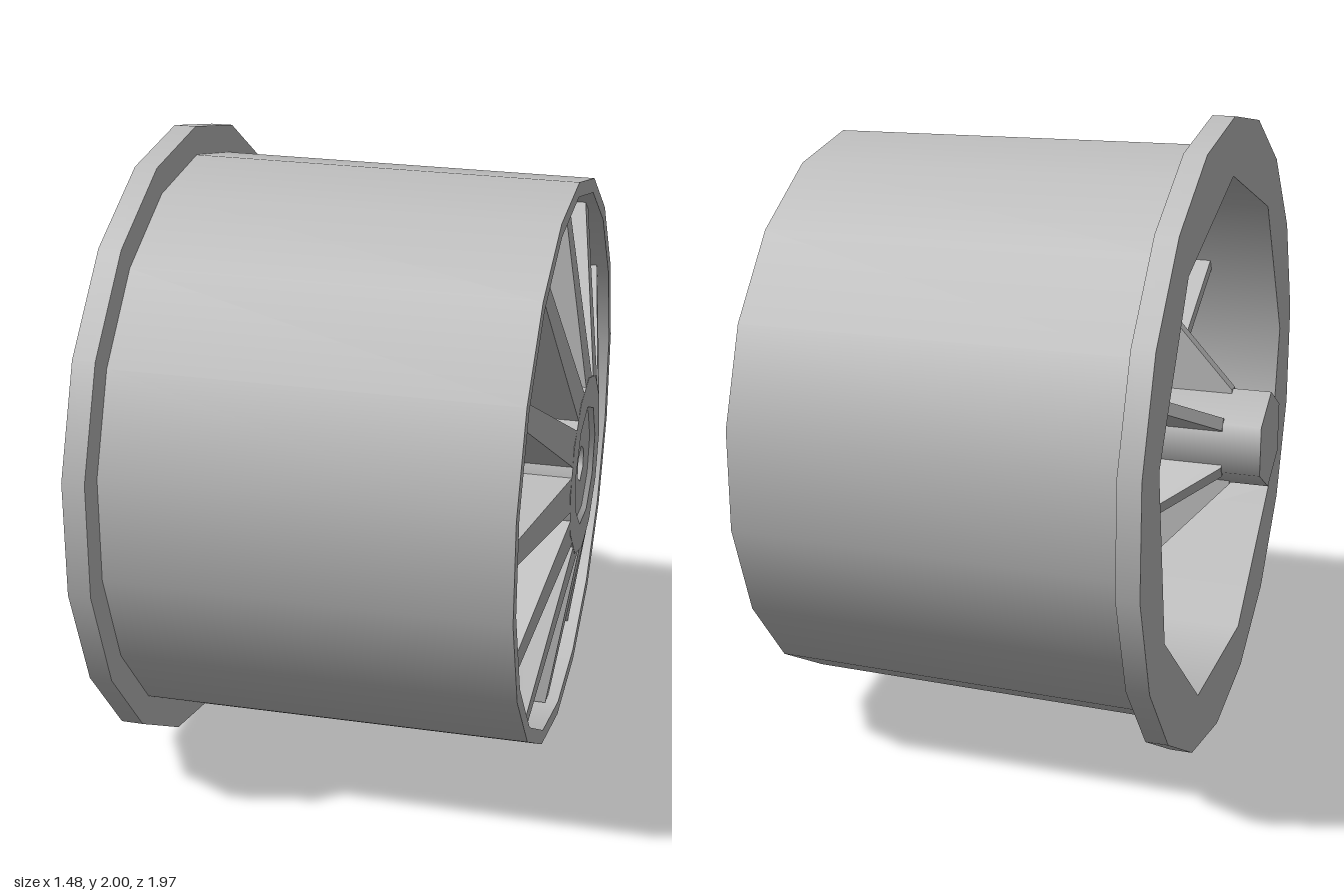
import * as THREE from 'three';

export function createModel() {
  const grey = new THREE.MeshStandardMaterial({ color: 0xc0c0c0, side: THREE.DoubleSide });
  grey.name = 'wheel grey';

  const model = new THREE.Group();
  model.name = 'wheelRim';
  // Parts are built around local y; this turns y to the axle (+x) and z to up
  const wheel = new THREE.Group();
  wheel.name = 'wheel';
  wheel.quaternion.setFromRotationMatrix(new THREE.Matrix4().makeBasis(
    new THREE.Vector3(0, 0, 1), new THREE.Vector3(1, 0, 0), new THREE.Vector3(0, 1, 0)));
  wheel.position.y = 1;
  model.add(wheel);

  const add = (name, geometry, parent = wheel) => {
    const mesh = new THREE.Mesh(geometry, grey);
    mesh.name = name;
    parent.add(mesh);
    return mesh;
  };

  // Open wall from axle position a (radius ra) to b (radius rb)
  const wall = (name, a, ra, b, rb, sides, solid = false) => {
    const g = new THREE.CylinderGeometry(rb, ra, b - a, sides, 1, !solid);
    g.translate(0, (a + b) / 2, 0);
    return add(name, g);
  };

  const polygon = (r, n) => Array.from({ length: n }, (_, i) => {
    const t = (i / n) * Math.PI * 2;
    return new THREE.Vector2(Math.sin(t) * r, Math.cos(t) * r);
  });

  // Flat face across the axle with an optional polygonal hole
  const face = (name, at, r, n, holeR, holeN, dir = 1) => {
    const shape = new THREE.Shape(polygon(r, n));
    if (holeR) shape.holes.push(new THREE.Path(polygon(holeR, holeN)));
    const g = new THREE.ShapeGeometry(shape);
    g.rotateX(dir > 0 ? -Math.PI / 2 : Math.PI / 2);
    if (dir > 0) g.scale(1, 1, -1).index.array.reverse();
    // keep the normal along the axle
    const nor = g.attributes.normal;
    for (let i = 0; i < nor.count; i++) nor.setXYZ(i, 0, dir, 0);
    // winding must agree with the normal
    const p = g.attributes.position, ix = g.index.array;
    const [a, b, c] = [0, 1, 2].map(k => new THREE.Vector3().fromBufferAttribute(p, ix[k]));
    if (b.sub(a).cross(c.sub(a)).y * dir < 0) ix.reverse();
    g.translate(0, at, 0);
    return add(name, g);
  };

  // Flange and barrel
  wall('flangeEdge', -0.6, 1, -0.53, 1, 18);
  face('flangeFront', -0.53, 1, 18, 0.9, 18, 1);
  face('flangeBack', -0.6, 1, 18, 0.82, 9, -1);
  wall('barrel', -0.53, 0.91, 0.68, 0.895, 18);
  wall('barrelInside', -0.6, 0.82, 0.5, 0.82, 9);

  // Front lip, recess and inner ring
  face('lip', 0.68, 0.895, 18, 0.85, 18, 1);
  wall('recess', 0.58, 0.85, 0.68, 0.85, 18);
  face('ringFront', 0.58, 0.85, 18, 0.76, 18, 1);
  wall('ringInside', 0.5, 0.76, 0.58, 0.76, 18);
  face('ringBack', 0.5, 0.85, 18, 0.76, 18, -1);

  // Hub with recessed cap and hexagonal socket
  wall('hubEdge', 0.58, 0.285, 0.735, 0.285, 12);
  face('hubFront', 0.735, 0.285, 12, 0.19, 9, 1);
  face('hubBack', 0.58, 0.285, 12, 0, 0, -1);
  wall('capBevel', 0.72, 0.178, 0.735, 0.19, 9);
  face('cap', 0.72, 0.178, 9, 0.06, 6, 1);
  wall('socket', 0.6, 0.06, 0.72, 0.06, 6);
  face('socketFloor', 0.6, 0.06, 6, 0, 0, 1);
  wall('shaft', -0.74, 0.155, 0.585, 0.155, 6, true);

  // Tapered spoke, sloping back towards the rim
  const spokeGeo = new THREE.BoxGeometry(1, 1, 1);
  const pos = spokeGeo.attributes.position;
  for (let i = 0; i < pos.count; i++) {
    const outer = pos.getZ(i) > 0;
    const half = outer ? 0.035 : 0.056;
    const front = outer ? 0.643 : 0.735;
    pos.setXYZ(i, Math.sign(pos.getX(i)) * half, pos.getY(i) > 0 ? front : 0.58, outer ? 0.84 : 0.272);
  }
  spokeGeo.computeVertexNormals();

  // Thin fin behind every other spoke, joining shaft to barrel
  const finShape = new THREE.Shape([[0.1, -0.62], [0.155, -0.62], [0.42, -0.38], [0.8, -0.38],
    [0.8, 0.58], [0.1, 0.58]].map(([r, a]) => new THREE.Vector2(r, a)));
  const finGeo = new THREE.ExtrudeGeometry(finShape, { depth: 0.04, bevelEnabled: false });
  finGeo.translate(0, 0, -0.02).rotateY(-Math.PI / 2);

  for (let i = 0; i < 12; i++) {
    const angle = (i * Math.PI) / 6;
    add('spoke', spokeGeo).rotation.y = angle;
    if (i % 2 === 0) add('fin', finGeo).rotation.y = angle;
  }
  return model;
}
